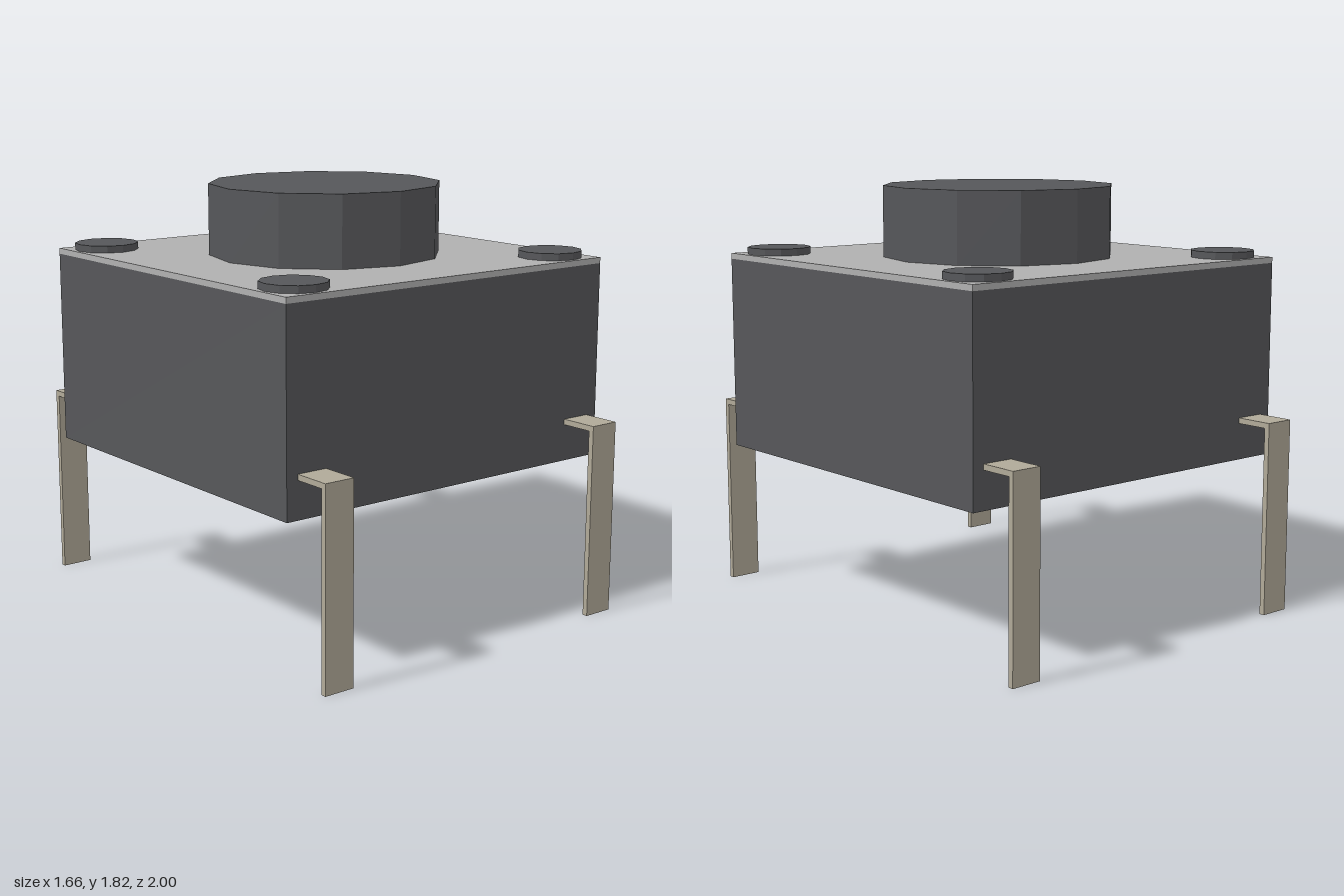
import * as THREE from 'three';

const mat = (color) => new THREE.MeshStandardMaterial({ color, flatShading: true });

export function createModel() {
  const model = new THREE.Group();
  model.name = 'tactileSwitch';
  const dark = mat(0x56575a), steel = mat(0xb0b0b0), tin = mat(0xb0a998);

  const add = (name, geometry, material, x, y, z) => {
    const mesh = new THREE.Mesh(geometry, material);
    mesh.name = name;
    mesh.position.set(x, y, z);
    model.add(mesh);
    return mesh;
  };

  // Housing and thin cover plate
  const bottom = 0.655, plateBottom = 1.49, plateTop = 1.515, width = 1.664;
  add('housing', new THREE.BoxGeometry(width, plateBottom - bottom, width), dark, 0, (bottom + plateBottom) / 2, 0);
  add('coverPlate', new THREE.BoxGeometry(width, plateTop - plateBottom, width), steel, 0, (plateBottom + plateTop) / 2, 0);

  // Twelve-sided push button
  const buttonTop = 1.82;
  add('button', new THREE.CylinderGeometry(0.5, 0.5, buttonTop - plateTop, 12), dark, 0, (plateTop + buttonTop) / 2, 0);

  // Bent leg: L-shaped profile (outward, up) extruded across its width
  const legTop = 0.837, t = 0.024, legWidth = 0.136;
  const profile = new THREE.Shape([
    [1, 0], [1, legTop], [0.82, legTop], [0.82, legTop - t], [1 - t, legTop - t], [1 - t, 0],
  ].map(([a, b]) => new THREE.Vector2(a, b)));
  const legGeometry = new THREE.ExtrudeGeometry(profile, { depth: legWidth, bevelEnabled: false });
  legGeometry.translate(0, 0, -legWidth / 2).rotateY(-Math.PI / 2);
  const studGeometry = new THREE.CylinderGeometry(0.137, 0.137, 0.03, 12);

  // One rivet stud and one leg at each corner
  for (const sx of [-1, 1]) {
    for (const sz of [-1, 1]) {
      const corner = (sz > 0 ? 'Front' : 'Back') + (sx > 0 ? 'Left' : 'Right');
      add('stud' + corner, studGeometry, dark, sx * 0.681, plateTop + 0.015, sz * 0.681);
      const leg = add('leg' + corner, legGeometry, tin, sx * 0.712, 0, 0);
      if (sz < 0) leg.rotation.y = Math.PI;
    }
  }
  return model;
}
